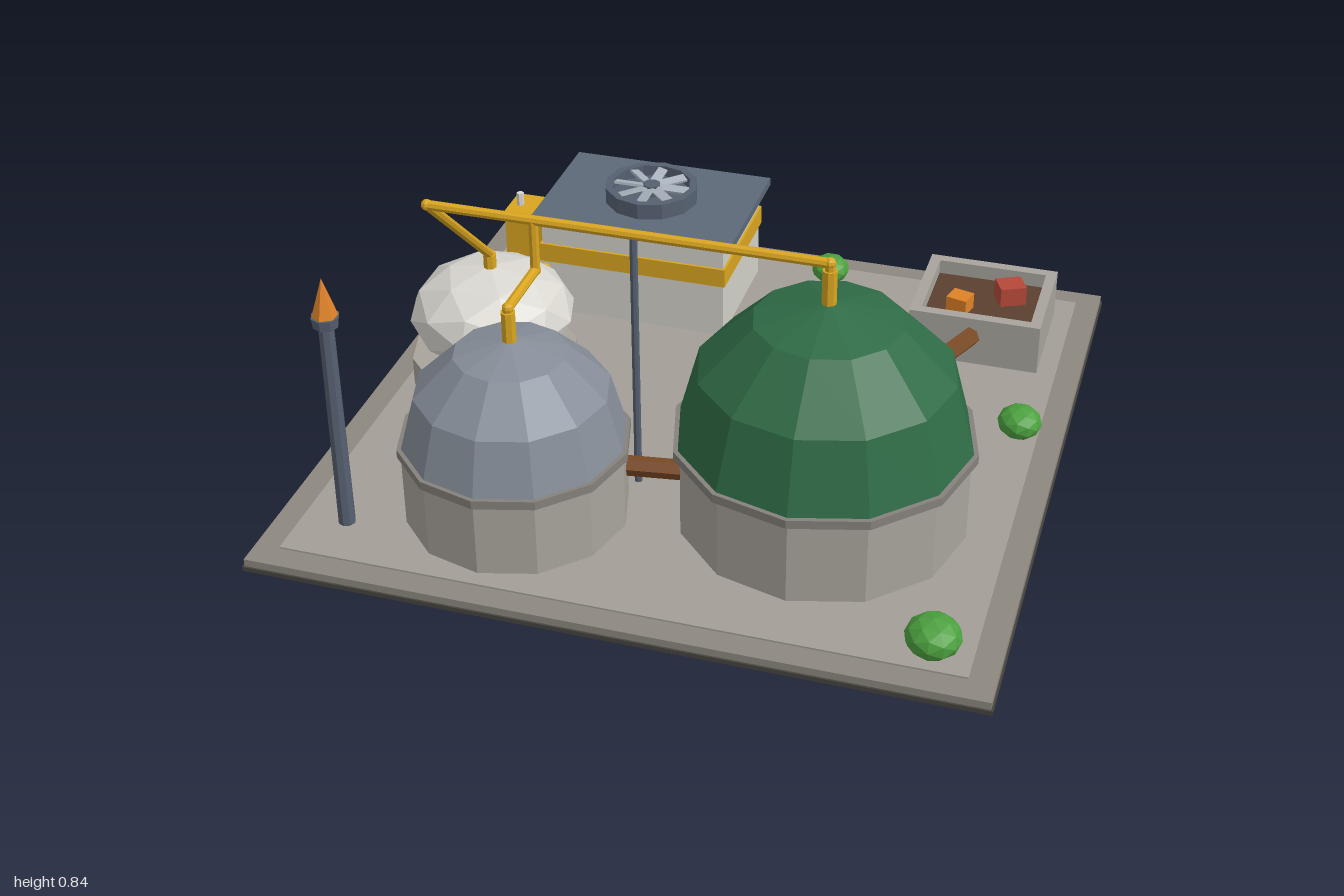
import * as THREE from 'three';

const COLORS = {
  concrete: 0xa8a49c, slab: 0x8c8880, dark: 0x45443f, pad: 0xa39f97, rim: 0x85817b,
  green: 0x2f6b46, grey: 0x868d98, white: 0xd9d7d0, yellow: 0xd9a520, steel: 0x566070,
  roof: 0x5d6978, blade: 0xa9b2bd, wall: 0xd2d0c8, door: 0x33363b, glass: 0x5f87b5,
  brown: 0x7a4a26, soil: 0x5a4030, red: 0xb5483a, orange: 0xdf8228, leaf: 0x4ca03f,
};

export function createModel() {
  const root = new THREE.Group();
  root.name = 'biogasPlant';

  const mats = {};
  const mat = (c) => (mats[c] ??= new THREE.MeshStandardMaterial({ color: COLORS[c], flatShading: true }));
  const group = (name, x = 0, y = 0, z = 0) => {
    const g = new THREE.Group();
    g.name = name;
    g.position.set(x, y, z);
    root.add(g);
    return g;
  };
  const add = (parent, name, geo, color, x = 0, y = 0, z = 0) => {
    const m = new THREE.Mesh(geo, mat(color));
    m.name = name;
    m.position.set(x, y, z);
    parent.add(m);
    return m;
  };
  // box given by its centre in x and z and its bottom and top heights
  const box = (parent, name, color, x, z, w, d, y0, y1) =>
    add(parent, name, new THREE.BoxGeometry(w, y1 - y0, d), color, x, (y0 + y1) / 2, z);
  // upright cylinder between two heights
  const drum = (parent, name, color, r0, r1, y0, y1, sides = 12, x = 0, z = 0) =>
    add(parent, name, new THREE.CylinderGeometry(r1, r0, y1 - y0, sides), color, x, (y0 + y1) / 2, z);
  // round bar between two points
  const bar = (parent, name, color, a, b, r, sides = 8) => {
    const p = new THREE.Vector3(...a), q = new THREE.Vector3(...b);
    const dir = q.clone().sub(p);
    const m = add(parent, name, new THREE.CylinderGeometry(r, r, dir.length(), sides), color);
    m.position.copy(p).add(q).multiplyScalar(0.5);
    m.quaternion.setFromUnitVectors(new THREE.Vector3(0, 1, 0), dir.normalize());
    return m;
  };

  // ground plate
  const base = group('base');
  box(base, 'baseBottom', 'dark', 0, 0, 2, 2, 0, 0.013);
  box(base, 'baseSlab', 'slab', 0, 0, 1.99, 1.99, 0.013, 0.035);
  box(base, 'basePad', 'pad', 0, 0, 1.85, 1.85, 0.03, 0.04);

  // domed tanks
  const tank = (name, color, x, z, rWall, rRim, rDome, yRim, yDome, height) => {
    const g = group(name, x, 0, z);
    drum(g, 'tankWall', 'concrete', rWall, rWall, 0.035, yRim);
    drum(g, 'tankRim', 'rim', rRim, rRim, yRim, yDome);
    const dome = new THREE.SphereGeometry(rDome, 12, 3, 0, Math.PI * 2, 0, Math.PI / 2);
    dome.scale(1, height / rDome, 1);
    add(g, 'tankDome', dome, color, 0, yDome, 0);
  };
  tank('greenDigester', 'green', 0.42, 0.37, 0.395, 0.413, 0.4, 0.283, 0.308, 0.4);
  tank('greyDigester', 'grey', -0.38, 0.575, 0.306, 0.316, 0.304, 0.253, 0.278, 0.3);

  // gas holder
  const holder = group('gasHolder', -0.68, 0, -0.03);
  drum(holder, 'holderPedestal', 'concrete', 0.245, 0.245, 0.035, 0.128);
  const ball = new THREE.IcosahedronGeometry(0.243, 1);
  ball.scale(1, 0.62, 1);
  add(holder, 'holderBall', ball, 'white', 0, 0.262, 0);

  // gas pipes: runs, stubs and joints
  const pipes = group('gasPipes');
  const runs = [
    [[0.42, 0.7, 0.37], [0.42, 0.82, 0.37], [-0.68, 0.82, 0.37], [-0.68, 0.45, -0.03], [-0.68, 0.38, -0.03]],
    [[-0.38, 0.56, 0.575], [-0.38, 0.67, 0.575], [-0.38, 0.67, 0.37], [-0.38, 0.82, 0.37]],
    [[-0.68, 0.19, -0.2], [-0.68, 0.19, -0.41], [-0.64, 0.19, -0.45]],
  ];
  for (const run of runs) {
    for (let i = 1; i < run.length; i++) {
      bar(pipes, 'pipe', 'yellow', run[i - 1], run[i], 0.014);
      if (i < run.length - 1) add(pipes, 'pipeJoint', new THREE.SphereGeometry(0.016, 8, 6), 'yellow', ...run[i]);
    }
  }
  drum(pipes, 'pipeCollar', 'yellow', 0.02, 0.02, 0.7, 0.8, 8, 0.42, 0.37);
  drum(pipes, 'pipeCollar', 'yellow', 0.02, 0.02, 0.56, 0.66, 8, -0.38, 0.575);
  drum(pipes, 'pipeCollar', 'yellow', 0.02, 0.02, 0.38, 0.45, 8, -0.68, -0.03);
  drum(pipes, 'pipePost', 'steel', 0.011, 0.011, 0.035, 0.815, 8, -0.104, 0.37);

  // brown feed pipes
  const feed = group('feedPipes');
  bar(feed, 'tankLink', 'brown', [-0.15, 0.165, 0.485], [0.1, 0.165, 0.6 - 0.22 + 0.01 * 7], 0.028, 6)
    .name = 'tankLink';
  bar(feed, 'feedBeam', 'brown', [0.668, 0.14, -0.475], [0.503, 0.14, -0.1], 0.029, 6);

  // flare stack
  const flare = group('flareStack', -0.8, 0, 0.77);
  drum(flare, 'flarePole', 'steel', 0.024, 0.021, 0.035, 0.665, 8);
  drum(flare, 'flareCollar', 'steel', 0.034, 0.038, 0.66, 0.69, 8);
  drum(flare, 'flareFlame', 'orange', 0.034, 0, 0.69, 0.8, 6);

  // machine house
  const house = group('machineHouse', -0.38, 0, -0.63);
  box(house, 'houseWalls', 'wall', 0, 0, 0.58, 0.41, 0.035, 0.345);
  box(house, 'houseBand', 'yellow', 0, 0, 0.594, 0.426, 0.215, 0.275);
  box(house, 'houseRoof', 'roof', 0, 0, 0.64, 0.46, 0.345, 0.37);
  box(house, 'houseDoor', 'door', 0.16, -0.21, 0.14, 0.03, 0.04, 0.3);
  box(house, 'backWindow', 'glass', -0.1, -0.207, 0.15, 0.014, 0.1, 0.185);
  box(house, 'sideWindow', 'glass', -0.292, 0, 0.014, 0.15, 0.1, 0.2);

  // roof fan: ring, floor, blades and hub
  const fan = group('roofFan', -0.38, 0, -0.63);
  const profile = [[0.122, 0.37], [0.145, 0.37], [0.145, 0.42], [0.122, 0.42], [0.122, 0.37]];
  add(fan, 'fanRing', new THREE.LatheGeometry(profile.map((p) => new THREE.Vector2(...p)), 12), 'steel');
  drum(fan, 'fanFloor', 'steel', 0.125, 0.125, 0.37, 0.385);
  for (let i = 0; i < 8; i++) {
    const a = (i * Math.PI) / 4;
    const blade = add(fan, 'fanBlade', new THREE.BoxGeometry(0.03, 0.008, 0.095), 'blade',
      Math.sin(a) * 0.07, 0.41, Math.cos(a) * 0.07);
    blade.rotation.set(0, a, 0.25);
  }
  drum(fan, 'fanHub', 'steel', 0.028, 0.028, 0.38, 0.42, 8);

  // transformer cabinet
  const cabinet = group('transformer', -0.83, 0, -0.78);
  box(cabinet, 'cabinetBody', 'yellow', 0, 0, 0.16, 0.13, 0.035, 0.18);
  box(cabinet, 'cabinetLid', 'yellow', 0, 0, 0.17, 0.14, 0.175, 0.192);
  for (const s of [-1, 1]) drum(cabinet, 'insulator', 'white', 0.012, 0.012, 0.19, 0.235, 6, s * 0.05, 0);

  // feedstock bunker
  const bunker = group('bunker', 0.672, 0, -0.657);
  for (const s of [-1, 1]) {
    box(bunker, 'bunkerEnd', 'concrete', s * 0.181, 0, 0.032, 0.35, 0.035, 0.195);
    box(bunker, 'bunkerSide', 'concrete', 0, s * 0.159, 0.33, 0.032, 0.035, 0.195);
  }
  box(bunker, 'bunkerFill', 'soil', 0, 0, 0.33, 0.29, 0.035, 0.15);
  box(bunker, 'redCrate', 'red', 0.073, -0.04, 0.08, 0.07, 0.14, 0.21).rotation.y = 0.45;
  box(bunker, 'orangeCrate', 'orange', -0.065, 0.055, 0.065, 0.06, 0.14, 0.2).rotation.y = -0.25;

  // bushes
  for (const [x, z, r] of [[0.145, -0.855, 0.06], [0.87, -0.155, 0.064], [0.82, 0.85, 0.074]]) {
    const bush = new THREE.IcosahedronGeometry(r, 1);
    bush.scale(1, 0.75, 1);
    add(root, 'bush', bush, 'leaf', x, 0.035 + r * 0.7, z);
  }

  return root;
}
